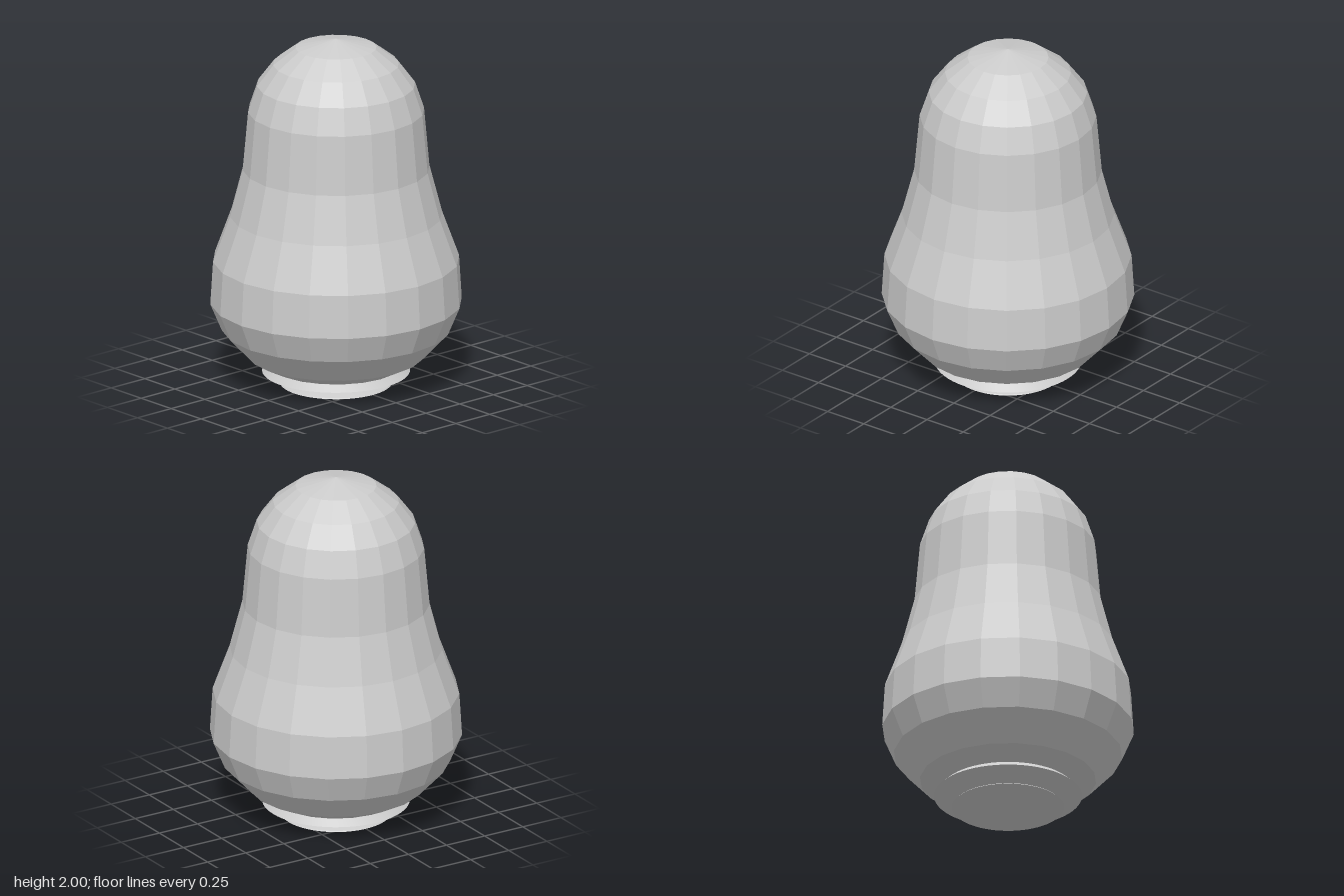
import * as THREE from 'three';
import { toCreasedNormals } from 'three/addons/utils/BufferGeometryUtils.js';

// Revolve a bottom-to-top [radius, height] profile about the y axis
const revolve = (profile, sides) =>
  new THREE.LatheGeometry(profile.map(([r, y]) => new THREE.Vector2(r, y)), sides);

export function createModel() {
  const group = new THREE.Group();
  group.name = 'pearShapedFigure';

  // Faceted pear-shaped body, pointed very slightly at the crown
  const body = new THREE.Mesh(
    revolve([
      [0, 0.1], [0.37, 0.105], [0.49, 0.165], [0.635, 0.32], [0.70, 0.475],
      [0.685, 0.72], [0.59, 0.98], [0.52, 1.25], [0.49, 1.585],
      [0.44, 1.735], [0.35, 1.855], [0.225, 1.95], [0, 2],
    ], 20),
    new THREE.MeshStandardMaterial({ color: 0xcccccc, flatShading: true }),
  );
  body.name = 'body';

  // Round foot: flared disc, narrow waist and a collar under the body
  const foot = new THREE.Mesh(
    toCreasedNormals(revolve([
      [0, 0], [0.31, 0], [0.305, 0.005], [0.23, 0.025],
      [0.41, 0.07], [0.37, 0.105], [0, 0.105],
    ], 64), Math.PI / 9),
    new THREE.MeshStandardMaterial({ color: 0xcccccc }),
  );
  foot.name = 'foot';

  group.add(body, foot);
  return group;
}
